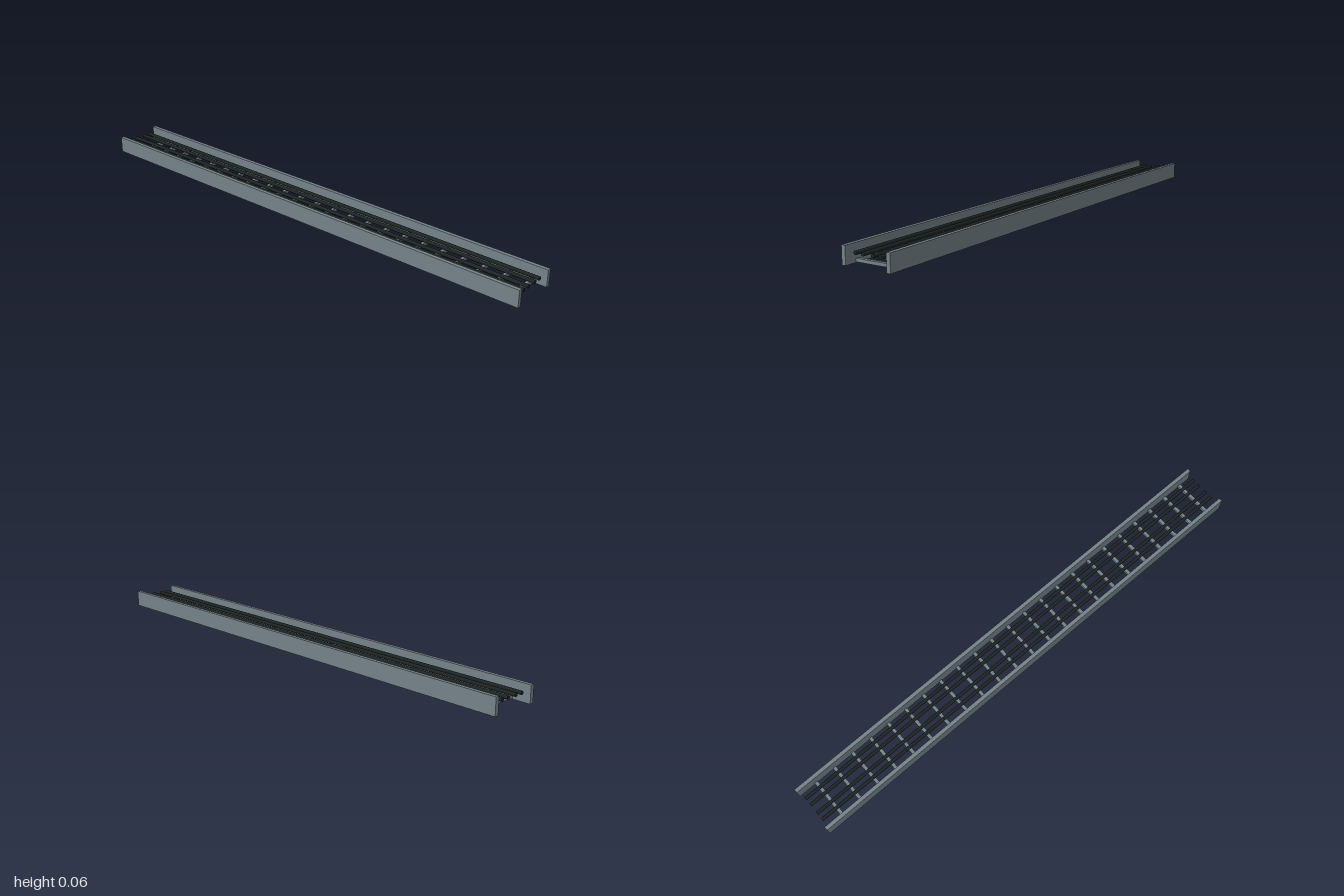
import * as THREE from 'three';

export function createModel() {
  const model = new THREE.Group();
  model.name = 'cableLadder';

  const steel = new THREE.MeshStandardMaterial({ color: 0x75838a });
  steel.name = 'galvanised steel grey';
  const rubber = new THREE.MeshStandardMaterial({ color: 0x1c2423 });
  rubber.name = 'cable black';

  function add(name, geometry, material, x, y, z) {
    const mesh = new THREE.Mesh(geometry, material);
    mesh.name = name;
    mesh.position.set(x, y, z);
    model.add(mesh);
  }

  // Two upright side rails
  const railGeometry = new THREE.BoxGeometry(0.015, 0.065, 2);
  add('leftRail', railGeometry, steel, 0.09, 0.0325, 0);
  add('rightRail', railGeometry, steel, -0.09, 0.0325, 0);

  // Evenly spaced rungs low between the rails
  const rungGeometry = new THREE.BoxGeometry(0.168, 0.012, 0.013);
  const rungCount = 23;
  const firstRung = -0.924;
  const spacing = 0.085;
  for (let i = 0; i < rungCount; i++) {
    add(`rung${i + 1}`, rungGeometry, steel, 0, 0.008, firstRung + i * spacing);
  }

  // Four round cables running along the tray
  const cableGeometry = new THREE.CylinderGeometry(0.007, 0.007, 1.98, 12).rotateX(Math.PI / 2);
  [-0.05, -0.02, 0.02, 0.05].forEach((x, i) => {
    add(`cable${i + 1}`, cableGeometry, rubber, x, 0.043, 0);
  });

  return model;
}
